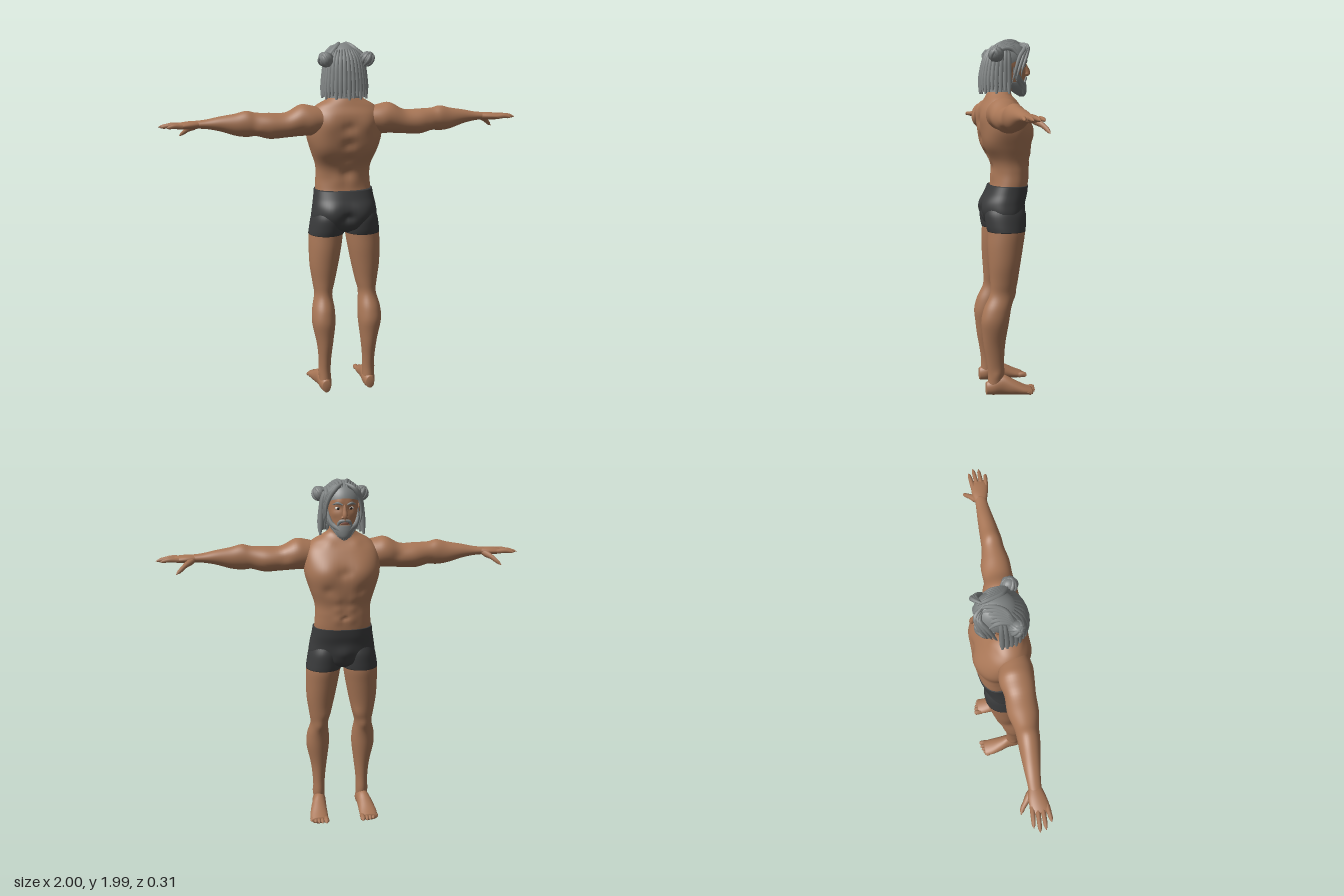
import * as THREE from 'three';

const mat = (name, color, side = THREE.FrontSide) => {
  const m = new THREE.MeshStandardMaterial({ color, side });
  m.name = name;
  return m;
};

// Smooth loft through rows [t, a, radiusA, b, radiusB, squareness]; t ascends along the axis.
// axis y: a = x, b = z;  axis x: a = z, b = y;  axis z: a = y, b = x
function loft(axis, rows, segs = 40, sub = 5) {
  const full = rows.map(r => [...r.slice(0, 5), r[5] ?? 1]);
  const rings = [];
  const last = full.length - 1;
  for (let k = 0; k <= last * sub; k++) {
    const i = Math.min(Math.floor(k / sub), last - 1), f = k / sub - i;
    const [p0, p1, p2, p3] = [-1, 0, 1, 2].map(d => full[Math.min(Math.max(i + d, 0), last)]);
    rings.push(p1.map((v, c) => v + 0.5 * f * (p2[c] - p0[c] + f * (2 * p0[c] - 5 * v + 4 * p2[c] - p3[c]
      + f * (3 * (v - p2[c]) + p3[c] - p0[c])))));
  }
  const closed = r => [r[0], r[1], 0, r[3], 0, 1];
  rings.unshift(closed(rings[0]));
  rings.push(closed(rings[rings.length - 1]));
  const pos = [], idx = [];
  const pow = (v, p) => Math.sign(v) * Math.abs(v) ** p;
  rings.forEach(([t, a0, ra, b0, rb, p], j) => {
    for (let i = 0; i < segs; i++) {
      const th = i / segs * Math.PI * 2;
      const a = a0 + ra * pow(Math.cos(th), p), b = b0 + rb * pow(Math.sin(th), p);
      pos.push(...(axis === 'y' ? [a, t, b] : axis === 'x' ? [t, b, a] : [b, a, t]));
      if (j) {
        const n = (i + 1) % segs, lo = (j - 1) * segs, hi = j * segs;
        idx.push(lo + i, hi + i, lo + n, hi + i, hi + n, lo + n);
      }
    }
  });
  const g = new THREE.BufferGeometry();
  g.setAttribute('position', new THREE.Float32BufferAttribute(pos, 3));
  g.setIndex(idx);
  g.computeVertexNormals();
  return g;
}

// Push the surface in or out around points [|x|, y, z, radius, amount]
function sculpt(g, bumps) {
  const p = g.attributes.position, n = g.attributes.normal;
  for (let i = 0; i < p.count; i++) {
    const v = new THREE.Vector3().fromBufferAttribute(p, i);
    const probe = new THREE.Vector3(Math.abs(v.x), v.y, v.z);
    let push = 0;
    for (const [x, y, z, r, amt] of bumps) {
      push += amt * Math.exp(-probe.distanceToSquared(new THREE.Vector3(x, y, z)) / (r * r));
    }
    p.setXYZ(i, v.x + n.getX(i) * push, v.y + n.getY(i) * push, v.z + n.getZ(i) * push);
  }
  g.computeVertexNormals();
  return g;
}

// Tapered tube through points, with radii spread evenly along it
function strand(points, radii, radial = 8, steps = 14) {
  const curve = new THREE.CatmullRomCurve3(points.map(p => new THREE.Vector3(...p)));
  const g = new THREE.TubeGeometry(curve, steps, 1, radial);
  const p = g.attributes.position, v = new THREE.Vector3();
  for (let i = 0; i < p.count; i++) {
    const u = Math.floor(i / (radial + 1)) / steps, c = curve.getPointAt(u);
    const k = Math.min(Math.floor(u * (radii.length - 1)), radii.length - 2);
    const r = THREE.MathUtils.lerp(radii[k], radii[k + 1], u * (radii.length - 1) - k);
    v.fromBufferAttribute(p, i).sub(c).multiplyScalar(r).add(c);
    p.setXYZ(i, v.x, v.y, v.z);
  }
  return g;
}

const ball = (x, y, z, rx, ry, rz) => new THREE.SphereGeometry(1, 20, 14).scale(rx, ry, rz).translate(x, y, z);

function mirrored(g) {
  const m = g.clone().scale(-1, 1, 1), ix = m.index.array;
  for (let i = 0; i < ix.length; i += 3) [ix[i], ix[i + 1]] = [ix[i + 1], ix[i]];
  const n = m.attributes.normal, src = g.attributes.normal;
  for (let i = 0; i < n.count; i++) n.setXYZ(i, -src.getX(i), src.getY(i), src.getZ(i));
  return m;
}

export function createModel() {
  const root = new THREE.Group();
  root.name = 'standingMan';
  const skin = mat('skin', 0xa87656), cloth = mat('shortsCloth', 0x3a3b3c);
  const hair = mat('greyHair', 0x7f8383, THREE.DoubleSide);
  const white = mat('eyeWhite', 0xd8d4cc), dark = mat('iris', 0x2c211b), lip = mat('lips', 0x8a5546);
  const add = (name, g, m) => {
    const mesh = new THREE.Mesh(g, m);
    mesh.name = name;
    root.add(mesh);
  };
  const pair = (name, g, m) => { add(name, g, m); add(name, mirrored(g), m); };

  // Torso and neck; the face and chest point to -z
  add('torso', sculpt(loft('y', [
    [1.15, 0, 0.158, -0.012, 0.106, 0.9], [1.2, 0, 0.157, -0.022, 0.102, 0.9], [1.26, 0, 0.153, -0.026, 0.1, 0.88],
    [1.32, 0, 0.156, -0.02, 0.106, 0.85], [1.4, 0, 0.182, -0.006, 0.134, 0.8], [1.48, 0, 0.205, 0.004, 0.143, 0.77],
    [1.55, 0, 0.207, 0.015, 0.135, 0.78], [1.61, 0, 0.195, 0.028, 0.115, 0.82], [1.655, 0, 0.16, 0.035, 0.085, 0.9],
    [1.69, 0, 0.1, 0.035, 0.068], [1.72, 0, 0.068, 0.024, 0.06], [1.8, 0, 0.062, 0.01, 0.056],
  ], 64, 7), [
    [0.09, 1.5, -0.13, 0.065, 0.013], [0.09, 1.405, -0.13, 0.03, -0.008], [0, 1.5, -0.14, 0.028, -0.012],
    [0.035, 1.36, -0.12, 0.026, 0.006], [0.035, 1.3, -0.12, 0.026, 0.006], [0.035, 1.24, -0.12, 0.026, 0.005],
    [0, 1.25, -0.126, 0.012, -0.01], [0, 1.28, 0.08, 0.03, -0.01], [0, 1.36, 0.11, 0.03, -0.012],
    [0, 1.45, 0.14, 0.03, -0.013], [0, 1.54, 0.15, 0.03, -0.012], [0.1, 1.56, 0.14, 0.05, 0.009],
    [0.13, 1.43, 0.1, 0.06, 0.008], [0.045, 1.24, 0.07, 0.04, 0.006], [0.07, 1.64, -0.04, 0.03, 0.006],
  ]), skin);

  // Shorts: hip block with seat shaping, and two leg sleeves
  add('shortsHips', sculpt(loft('y', [
    [0.945, 0, 0.06, 0.01, 0.06], [0.975, 0, 0.17, 0.014, 0.1, 0.9], [1.03, 0, 0.187, 0.015, 0.114, 0.88],
    [1.09, 0, 0.18, 0.012, 0.119, 0.86], [1.14, 0, 0.171, -0.002, 0.117, 0.86], [1.185, 0, 0.165, -0.013, 0.112, 0.88],
  ], 56, 7), [
    [0.08, 1.055, 0.12, 0.06, 0.018], [0, 1.04, 0.13, 0.022, -0.022], [0, 1.04, -0.11, 0.04, 0.014],
  ]), cloth);
  pair('shortsLeg', loft('y', [
    [0.935, 0.104, 0.101, 0.011, 0.106], [0.97, 0.1, 0.1, 0.014, 0.112], [1.03, 0.095, 0.094, 0.016, 0.115],
    [1.08, 0.09, 0.08, 0.016, 0.1],
  ]), cloth);

  // Legs
  pair('leg', sculpt(loft('y', [
    [0.04, 0.13, 0.036, 0.085, 0.042], [0.12, 0.13, 0.034, 0.075, 0.046], [0.2, 0.13, 0.036, 0.08, 0.05],
    [0.3, 0.13, 0.047, 0.085, 0.062], [0.42, 0.135, 0.066, 0.08, 0.076], [0.5, 0.134, 0.064, 0.068, 0.077],
    [0.58, 0.129, 0.051, 0.04, 0.069], [0.65, 0.125, 0.063, 0.03, 0.076], [0.75, 0.121, 0.081, 0.025, 0.088],
    [0.85, 0.113, 0.092, 0.019, 0.099], [0.93, 0.106, 0.097, 0.012, 0.104], [1, 0.1, 0.095, 0.014, 0.1],
  ]), [
    [0.127, 0.575, -0.035, 0.032, 0.008], [0.09, 0.65, -0.04, 0.035, 0.006], [0.165, 0.12, 0.075, 0.02, 0.005],
    [0.1, 0.42, 0.15, 0.04, 0.004], [0.165, 0.43, 0.14, 0.04, 0.004],
  ]), skin);

  // Feet and toes
  pair('foot', loft('z', [
    [-0.125, 0.02, 0.018, 0.147, 0.047], [-0.08, 0.029, 0.028, 0.147, 0.052], [-0.02, 0.045, 0.044, 0.142, 0.047],
    [0.035, 0.058, 0.057, 0.134, 0.04], [0.09, 0.05, 0.049, 0.13, 0.038], [0.133, 0.04, 0.035, 0.13, 0.024],
  ], 28), skin);
  for (let i = 0; i < 5; i++) {
    const x = 0.109 + i * 0.0195 + (i ? 0.004 : 0), tip = -0.152 + i * i * 0.002, r = i ? 0.0115 : 0.016;
    pair('toe', strand([[x, 0.022, -0.1], [x, 0.024, tip + 0.02], [x, 0.013, tip]], [r, r, r, r * 1.05, 0]), skin);
  }

  // Arms held straight out
  pair('arm', sculpt(loft('x', [
    [0.12, 0.055, 0.07, 1.58, 0.06], [0.19, 0.052, 0.087, 1.578, 0.08], [0.25, 0.048, 0.088, 1.58, 0.084],
    [0.33, 0.052, 0.078, 1.558, 0.067], [0.42, 0.055, 0.073, 1.556, 0.069], [0.49, 0.053, 0.059, 1.566, 0.062],
    [0.54, 0.053, 0.056, 1.57, 0.069], [0.6, 0.05, 0.051, 1.567, 0.058], [0.68, 0.044, 0.042, 1.573, 0.039],
    [0.75, 0.04, 0.034, 1.573, 0.025], [0.81, 0.038, 0.03, 1.572, 0.02],
  ]), [[0.4, 1.56, -0.02, 0.05, 0.006], [0.31, 1.57, -0.03, 0.03, -0.006], [0.48, 1.54, 0.11, 0.03, 0.005]]), skin);

  // Hands
  pair('palm', loft('x', [
    [0.78, 0.038, 0.029, 1.572, 0.02], [0.83, 0.04, 0.042, 1.571, 0.021], [0.88, 0.045, 0.046, 1.569, 0.018],
    [0.91, 0.046, 0.042, 1.567, 0.012],
  ], 28), skin);
  [[0.01, 0.0, 0.975], [0.034, 0.026, 1.0], [0.057, 0.056, 0.992], [0.079, 0.088, 0.958]].forEach(([z0, z1, tip]) =>
    pair('finger', strand([[0.875, 1.569, z0], [(0.875 + tip) / 2, 1.572, (z0 + z1) / 2], [tip, 1.564, z1]],
      [0.0125, 0.0125, 0.012, 0.011, 0.0105, 0.009, 0]), skin));
  pair('thumb', strand([[0.8, 1.567, 0.02], [0.84, 1.545, -0.012], [0.865, 1.525, -0.032], [0.892, 1.502, -0.045]],
    [0.016, 0.019, 0.016, 0.013, 0.012, 0.01, 0]), skin);

  // Head and face
  add('head', sculpt(loft('y', [
    [1.7, 0, 0.034, -0.075, 0.03], [1.73, 0, 0.055, -0.058, 0.054], [1.77, 0, 0.069, -0.037, 0.077],
    [1.82, 0, 0.08, -0.02, 0.095], [1.87, 0, 0.085, -0.014, 0.1], [1.92, 0, 0.079, -0.012, 0.094],
    [1.955, 0, 0.055, -0.01, 0.068], [1.972, 0, 0.02, -0.01, 0.025],
  ], 48, 6), [[0.034, 1.845, -0.11, 0.018, -0.006], [0.03, 1.873, -0.112, 0.02, 0.005], [0.05, 1.815, -0.09, 0.022, 0.005]]), skin);
  add('nose', strand([[0, 1.865, -0.108], [0, 1.835, -0.12], [0, 1.803, -0.128], [0, 1.788, -0.112]],
    [0.006, 0.009, 0.013, 0.014, 0]), skin);
  pair('nostril', ball(0.011, 1.798, -0.116, 0.009, 0.008, 0.011), skin);
  pair('ear', ball(0.085, 1.83, -0.01, 0.011, 0.032, 0.02).rotateX(0), skin);
  pair('eye', ball(0.034, 1.844, -0.094, 0.016, 0.009, 0.015), white);
  pair('iris', ball(0.034, 1.844, -0.107, 0.007, 0.007, 0.004), dark);
  add('mouth', ball(0, 1.766, -0.108, 0.024, 0.008, 0.009), lip);
  pair('eyebrow', strand([[0.012, 1.863, -0.117], [0.035, 1.872, -0.113], [0.062, 1.862, -0.09]], [0.004, 0.007, 0.002]), hair);

  // Beard and moustache
  add('beard', loft('y', [
    [1.676, 0, 0.012, -0.095, 0.012], [1.695, 0, 0.036, -0.085, 0.034], [1.725, 0, 0.058, -0.066, 0.055],
    [1.755, 0, 0.068, -0.046, 0.071],
  ], 32), hair);
  pair('moustache', strand([[0, 1.781, -0.117], [0.025, 1.775, -0.111], [0.04, 1.745, -0.098]], [0.007, 0.009, 0.008, 0.003]), hair);
  for (let i = 0; i < 4; i++) {
    pair('beardLock', strand([[0.08, 1.835 - i * 0.014, -0.03 - i * 0.009], [0.074 - i * 0.004, 1.775 - i * 0.006, -0.055 - i * 0.008],
      [0.045 - i * 0.01, 1.72, -0.09 - i * 0.006], [0.03 - i * 0.008, 1.69 - i * 0.003, -0.098 - i * 0.004]], [0.007, 0.014, 0.013, 0.003]), hair);
  }

  // Hair cap, tilted back off the forehead, and the curtain behind
  add('hairCap', new THREE.SphereGeometry(1, 40, 24, 0, Math.PI * 2, 0, Math.PI * 0.55).scale(0.101, 0.112, 0.116)
    .rotateX(0.4).translate(0, 1.868, -0.008), hair);
  add('hairCurtain', new THREE.CylinderGeometry(0.096, 0.118, 0.19, 32, 4, true, -Math.PI * 0.54, Math.PI * 1.08)
    .translate(0, 1.795, 0.02), hair);
  for (let i = 0; i < 19; i++) {
    const a = (i / 18 - 0.5) * Math.PI * 1.12, s = Math.sin(a), c = Math.cos(a), end = 1.69 + 0.009 * (i % 3);
    add('backLock', strand([[s * 0.07, 1.95, 0.01 + c * 0.06], [s * 0.099, 1.89, 0.015 + c * 0.095],
      [s * 0.112, 1.8, 0.02 + c * 0.112], [s * 0.121, end, 0.021 + c * 0.12]], [0.005, 0.013, 0.014, 0.015, 0.015, 0.006]), hair);
  }
  // Locks swept from the hairline over the top toward the buns
  for (let i = 0; i < 6; i++) {
    const f = i / 5;
    pair('sweptLock', strand([[0.012 + f * 0.078, 1.952 - f * 0.055, -0.098 + f * 0.04], [0.016 + f * 0.07, 1.974 - f * 0.045, -0.05 + f * 0.03],
      [0.04 + f * 0.048, 1.965 - f * 0.035, 0.02], [0.1, 1.91, 0.062]], [0.004, 0.013, 0.013, 0.008]), hair);
  }
  // Loose locks framing the face
  for (let i = 0; i < 3; i++) {
    pair('frontLock', strand([[0.008, 1.968 - i * 0.006, -0.075], [0.045 + i * 0.008, 1.95 - i * 0.006, -0.115 + i * 0.008],
      [0.083 + i * 0.004, 1.89, -0.102 + i * 0.018], [0.095 + i * 0.002, 1.82 - i * 0.02, -0.078 + i * 0.024],
      [0.09, 1.78 - i * 0.02, -0.072 + i * 0.026]], [0.005, 0.013, 0.011, 0.008, 0.001]), hair);
  }
  // Twin buns with coiled strands
  pair('bun', ball(0.113, 1.9, 0.07, 0.036, 0.041, 0.042), hair);
  for (let i = 0; i < 4; i++) {
    pair('bunCoil', new THREE.TorusGeometry(0.033, 0.011, 8, 24).rotateX(0.5).rotateY(i * Math.PI / 4).translate(0.113, 1.9, 0.07), hair);
  }
  return root;
}
